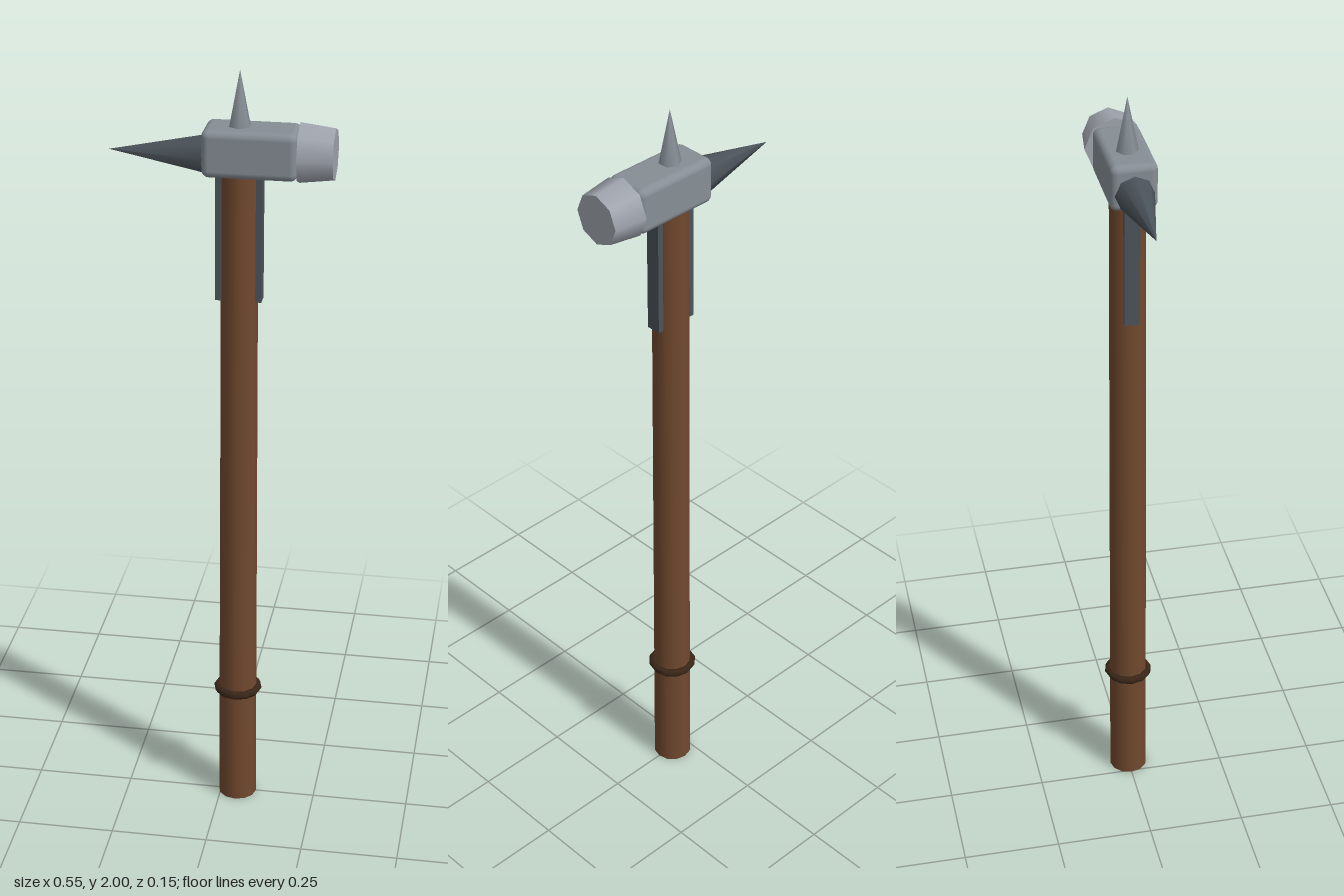
import * as THREE from 'three';
import { RoundedBoxGeometry } from 'three/addons/geometries/RoundedBoxGeometry.js';

const CX = 0.044; // handle axis

export function createModel() {
  const group = new THREE.Group();
  const mat = (color) => new THREE.MeshStandardMaterial({ color });
  const wood = mat(0x71492e), leather = mat(0x3a2618);
  const steel = mat(0x868e95), darkSteel = mat(0x4b535a), brightSteel = mat(0xa0a5ae);

  const add = (name, geometry, material, x, y, rotZ = 0) => {
    const mesh = new THREE.Mesh(geometry, material);
    mesh.name = name;
    mesh.position.set(x, y, 0);
    mesh.rotation.z = rotZ;
    group.add(mesh);
    return mesh;
  };

  // Long, slightly tapered handle with a grip ring
  add('handle', new THREE.CylinderGeometry(0.045, 0.05, 1.78, 12), wood, CX, 0.89);
  const ring = new THREE.TorusGeometry(0.052, 0.011, 6, 12).rotateX(Math.PI / 2);
  add('gripRing', ring, leather, CX, 0.325);

  // Metal straps on both sides below the head
  for (const side of [-1, 1]) {
    add(side < 0 ? 'rightStrap' : 'leftStrap',
      new THREE.BoxGeometry(0.015, 0.34, 0.038), darkSteel, CX + side * 0.0495, 1.595);
  }

  // Head block
  add('head', new RoundedBoxGeometry(0.23, 0.117, 0.115, 3, 0.018), steel, 0.073, 1.805);

  // Octagonal striking face, narrowing outwards
  add('strikingFace', new THREE.CylinderGeometry(0.075, 0.064, 0.085, 8),
    brightSteel, 0.2305, 1.805, Math.PI / 2);

  // Rear spike
  add('rearSpike', new THREE.ConeGeometry(0.048, 0.233, 8),
    darkSteel, -0.1565, 1.79, Math.PI / 2);

  // Six-sided top spike
  add('topSpike', new THREE.ConeGeometry(0.028, 0.14, 6), steel, CX, 1.93);

  return group;
}
